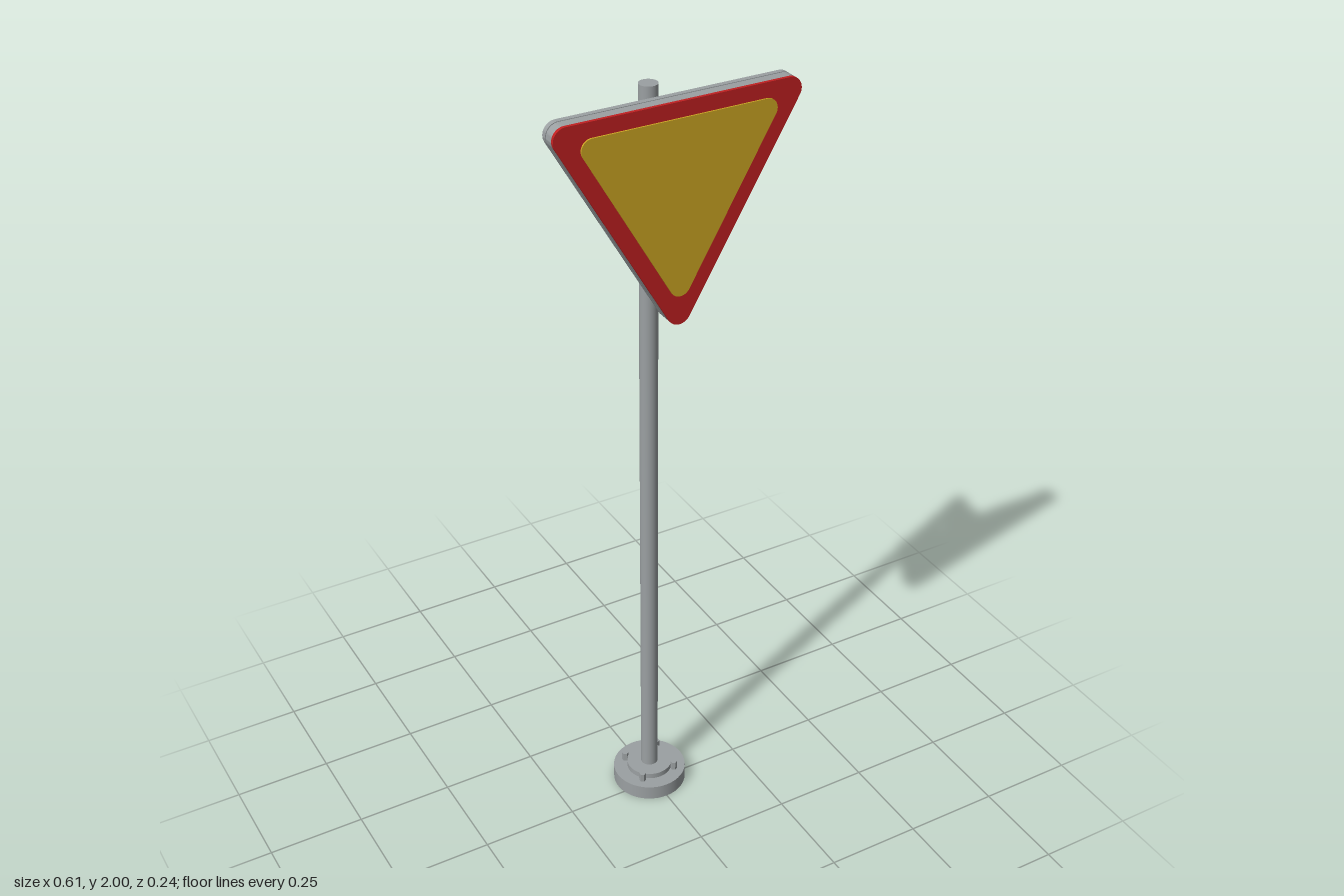
import * as THREE from 'three';
import { toCreasedNormals } from 'three/addons/utils/BufferGeometryUtils.js';
import { RoundedBoxGeometry } from 'three/addons/geometries/RoundedBoxGeometry.js';

const POLE_Z = -0.026;

function material(name, color) {
  const m = new THREE.MeshStandardMaterial({ color });
  m.name = name;
  return m;
}

// Downward-pointing triangle with round corners: halfW, top and tip are outer limits
function signShape(halfW, top, tip, r) {
  const rad = THREE.MathUtils.degToRad;
  const s = new THREE.Shape();
  s.absarc(halfW - r, top - r, r, rad(-30), rad(90), false);
  s.absarc(-(halfW - r), top - r, r, rad(90), rad(210), false);
  s.absarc(0, tip + r, r, rad(210), rad(330), false);
  s.closePath();
  return s;
}

export function createModel() {
  const group = new THREE.Group();
  group.name = 'yieldSign';
  const steel = material('galvanised steel', 0x9ba0a2);
  const red = material('border red', 0xc02021);
  const yellow = material('face yellow', 0xcca522);

  const add = (name, geometry, mat, x, y, z) => {
    const mesh = new THREE.Mesh(geometry, mat);
    mesh.name = name;
    mesh.position.set(x, y, z);
    group.add(mesh);
    return mesh;
  };
  // Upright cylinder between two heights
  const post = (name, r, y0, y1, x = 0, z = POLE_Z, sides = 48) => {
    let geometry = new THREE.CylinderGeometry(r, r, y1 - y0, sides);
    if (sides < 8) geometry = toCreasedNormals(geometry, 0.5);
    return add(name, geometry, steel, x, (y0 + y1) / 2, z);
  };
  // Triangular plate between two depths
  const plate = (name, shape, z0, z1, mat) => {
    const geometry = new THREE.ExtrudeGeometry(shape, {
      depth: z1 - z0, bevelEnabled: false, curveSegments: 10,
    });
    return add(name, toCreasedNormals(geometry, 0.6), mat, 0, 0, z0);
  };

  // Base, collar and pole
  post('base', 0.096, 0, 0.04);
  post('collar', 0.06, 0.04, 0.055);
  post('pole', 0.0225, 0.002, 1.992, 0, POLE_Z, 32);

  // Hexagonal anchor bolts around the collar
  for (const sx of [-1, 1]) {
    for (const sz of [-1, 1]) {
      post('anchorBolt', 0.009, 0.04, 0.064, sx * 0.048, POLE_Z + sz * 0.048, 6);
    }
  }

  // Brackets joining the pole to the sign
  for (const y of [1.91, 1.703]) {
    add('bracket', new RoundedBoxGeometry(0.126, 0.026, 0.11, 2, 0.004), steel, 0, y, 0.029);
  }

  // Layered sign: backing, body, red border and yellow face
  const outer = signShape(0.303, 2, 1.467, 0.03);
  const inner = signShape(0.24, 1.964, 1.54, 0.026);
  plate('backPlate', outer, 0.067, 0.08, steel);
  plate('signBody', outer, 0.083, 0.107, steel);
  plate('redBorder', outer, 0.107, 0.115, red);
  plate('yellowFace', inner, 0.115, 0.119, yellow);

  return group;
}
